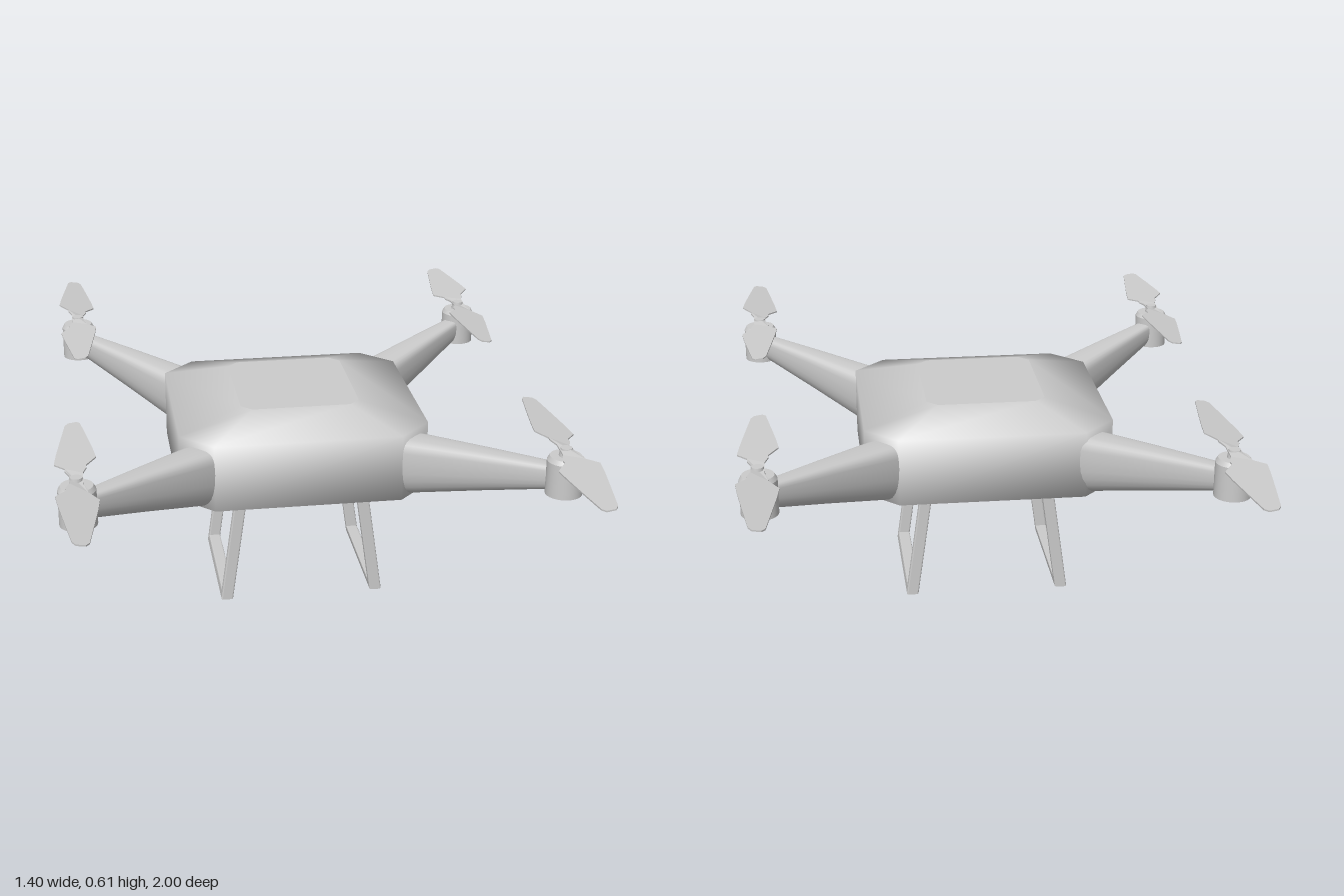
import * as THREE from 'three';

const grey = new THREE.MeshStandardMaterial({ color: 0xcccccc });
const greyThin = new THREE.MeshStandardMaterial({ color: 0xcccccc, side: THREE.DoubleSide });

function part(name, geometry, material = grey) {
  const mesh = new THREE.Mesh(geometry, material);
  mesh.name = name;
  return mesh;
}

// Smooth skin through equal-length rings, closed by flat caps.
function loft(rings) {
  const n = rings[0].length, pos = [], index = [];
  rings.forEach(r => r.forEach(p => pos.push(p.x, p.y, p.z)));
  for (let i = 0; i < rings.length - 1; i++) {
    for (let j = 0; j < n; j++) {
      const a = i * n + j, b = i * n + (j + 1) % n;
      index.push(a, b, b + n, a, b + n, a + n);
    }
  }
  [rings[0], rings[rings.length - 1]].forEach((ring, end) => {
    const start = pos.length / 3;
    ring.forEach(p => pos.push(p.x, p.y, p.z));
    for (let j = 1; j < n - 1; j++) {
      if (end) index.push(start, start + j, start + j + 1);
      else index.push(start, start + j + 1, start + j);
    }
  });
  const g = new THREE.BufferGeometry();
  g.setAttribute('position', new THREE.Float32BufferAttribute(pos, 3));
  g.setIndex(index);
  g.computeVertexNormals();
  return g;
}

// Rectangle with cut corners, counter-clockwise from above.
function bodyRing(y, w, d, cut) {
  return [
    [w, d - cut], [w, cut - d], [w - cut, -d], [cut - w, -d],
    [-w, cut - d], [-w, d - cut], [cut - w, d], [w - cut, d],
  ].map(([x, z]) => new THREE.Vector3(x, y, z + 0.008));
}

// Tapering arm with a flattish top and a rounded keel.
function armGeometry(from, to) {
  const dir = to.clone().sub(from).setY(0).normalize();
  const up = new THREE.Vector3(0, 1, 0);
  const side = up.clone().cross(dir);
  const stations = [ // along, bottom, top, half width
    [0, 0.315, 0.52, 0.068],
    [0.3, 0.365, 0.532, 0.057],
    [0.65, 0.425, 0.545, 0.041],
    [1, 0.483, 0.556, 0.026],
  ];
  return loft(stations.map(([t, bottom, top, w]) => {
    const mid = bottom + (top - bottom) * 0.62, ring = [];
    for (let i = 0; i < 24; i++) {
      const a = i / 24 * Math.PI * 2, c = Math.cos(a), s = Math.sin(a);
      const power = s > 0 ? 0.55 : 0.9;
      const u = Math.sign(c) * Math.abs(c) ** power * w;
      const v = s > 0 ? s ** power * (top - mid) : -(Math.abs(s) ** power) * (mid - bottom);
      ring.push(from.clone().lerp(to, t).setY(mid + v).addScaledVector(side, u));
    }
    return ring;
  }));
}

// Two opposed blades, each pitched the opposite way.
function propellerGeometry(spin) {
  const half = [
    [0.018, 0.03], [0.028, 0.06], [0.027, 0.075], [0.055, 0.115],
    [0.049, 0.17], [0.036, 0.26], [0.021, 0.36], [0.012, 0.374],
  ];
  const mirror = half.slice().reverse().map(([x, z]) => [-x, z]);
  const blade = [...half, ...mirror];
  const outline = [...blade, ...blade.map(([x, z]) => [-x, -z])];
  const shape = new THREE.Shape(outline.map(([x, z]) => new THREE.Vector2(x, z)));
  const g = new THREE.ExtrudeGeometry(shape, { depth: 0.004, bevelEnabled: false });
  g.rotateX(-Math.PI / 2);
  const p = g.attributes.position;
  for (let i = 0; i < p.count; i++) {
    p.setY(i, p.getY(i) + p.getX(i) * 0.15 * spin * Math.sign(p.getZ(i)));
  }
  g.computeVertexNormals();
  return g;
}

// U-shaped landing frame, leaning outwards towards the ground.
function legGeometry(sign) {
  const outline = [
    [-0.19, 0], [0.21, 0], [0.21, 0.335], [0.188, 0.335],
    [0.188, 0.026], [-0.168, 0.026], [-0.168, 0.335], [-0.19, 0.335],
  ];
  const shape = new THREE.Shape(outline.map(([z, y]) => new THREE.Vector2(-z, y)));
  const g = new THREE.ExtrudeGeometry(shape, {
    depth: 0.027, bevelEnabled: true, bevelSize: 0.004, bevelThickness: 0.004,
    bevelOffset: -0.004, bevelSegments: 2,
  });
  g.translate(0, 0, -0.0135).rotateY(Math.PI / 2);
  const p = g.attributes.position;
  for (let i = 0; i < p.count; i++) {
    p.setX(i, p.getX(i) + sign * (0.222 - p.getY(i) * 0.14));
  }
  g.computeVertexNormals();
  return g;
}

export function createModel() {
  const model = new THREE.Group();
  model.name = 'quadcopter';

  // Body shell
  model.add(part('body', loft([
    bodyRing(0.31, 0.2, 0.2, 0.04),
    bodyRing(0.355, 0.354, 0.337, 0.09),
    bodyRing(0.55, 0.354, 0.337, 0.09),
    bodyRing(0.595, 0.17, 0.19, 0.03),
  ])));

  // Arms, each carrying a motor and propeller
  const motorProfile = [[0, 0.478], [0.05, 0.478], [0.05, 0.575], [0.043, 0.587], [0, 0.587]];
  const rotors = [
    ['frontLeft', 0.645, 0.618, 1], ['frontRight', -0.645, 0.618, -1],
    ['backLeft', 0.645, -0.603, -1], ['backRight', -0.603, -0.632, 1],
  ];
  for (const [name, x, z, spin] of rotors) {
    const root = new THREE.Vector3(Math.sign(x) * 0.19, 0, Math.sign(z) * 0.19 + 0.008);
    const tip = new THREE.Vector3(x, 0, z).lerp(root, 0.05);
    model.add(part(name + 'Arm', armGeometry(root, tip)));

    const rotor = new THREE.Group();
    rotor.name = name + 'Rotor';
    rotor.position.set(x, 0, z);
    // Each profile segment is lathed alone to keep its edges sharp
    for (let i = 0; i < motorProfile.length - 1; i++) {
      const pts = motorProfile.slice(i, i + 2).map(p => new THREE.Vector2(...p));
      rotor.add(part('motor', new THREE.LatheGeometry(pts, 28)));
    }
    const hub = part('hub', new THREE.CylinderGeometry(0.016, 0.02, 0.026, 16));
    hub.position.y = 0.597;
    const propeller = part('propeller', propellerGeometry(spin), greyThin);
    propeller.position.y = 0.601;
    rotor.add(hub, propeller);
    model.add(rotor);
  }

  // Landing gear
  model.add(part('leftLandingLeg', legGeometry(1)), part('rightLandingLeg', legGeometry(-1)));
  return model;
}
